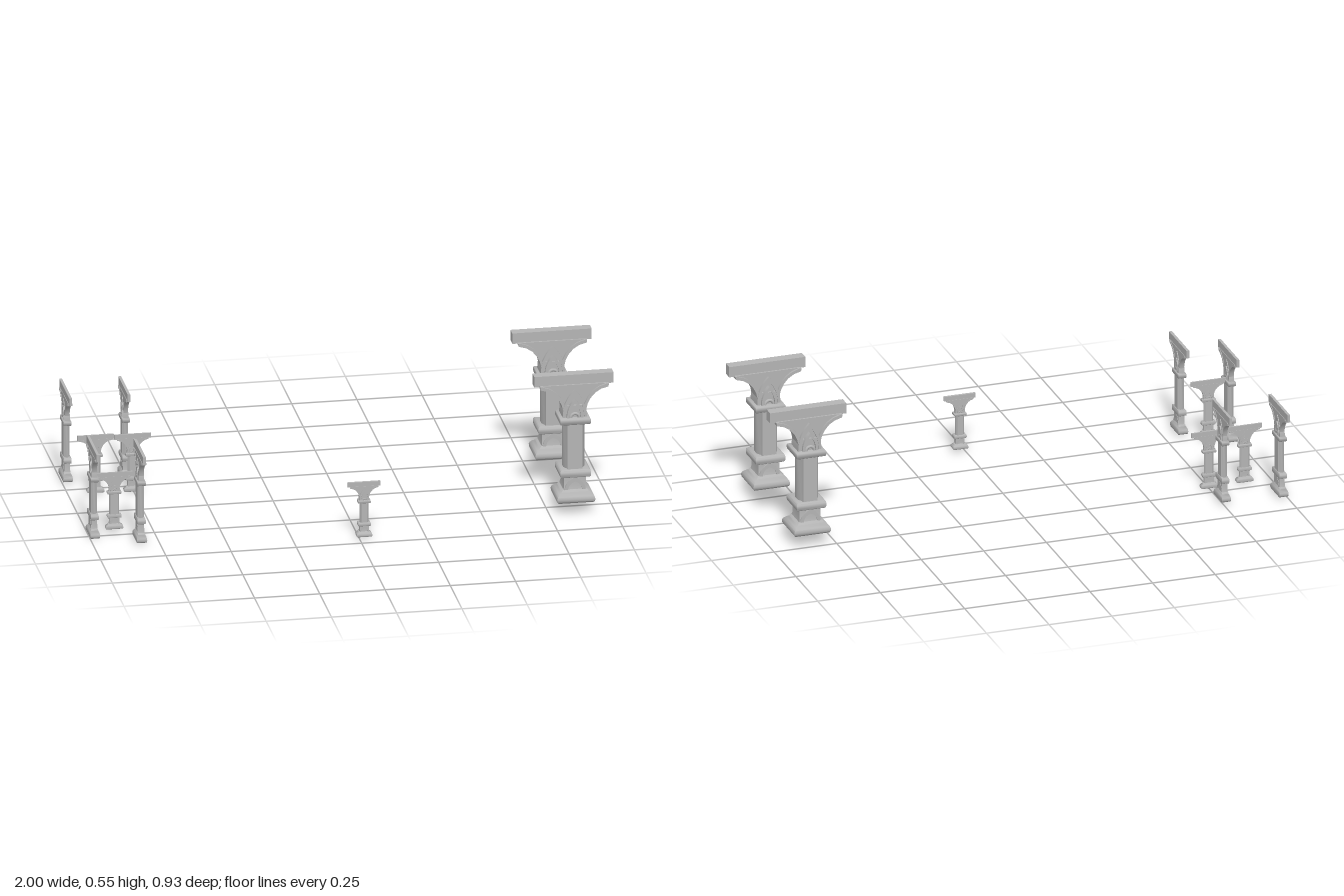
import * as THREE from 'three';
import { toCreasedNormals } from 'three/addons/utils/BufferGeometryUtils.js';

// Square moulding swept from a [half width, height] profile
function squareLathe(profile) {
  const g = new THREE.LatheGeometry(
    profile.map(([r, y]) => new THREE.Vector2(r * Math.SQRT2, y)), 4);
  return toCreasedNormals(g.rotateY(Math.PI / 4), 1.2);
}

// Outline extruded evenly to both sides of z = 0
function slab(shape, depth) {
  const g = new THREE.ExtrudeGeometry(shape, { depth, bevelEnabled: false, curveSegments: 8 });
  return toCreasedNormals(g.translate(0, 0, -depth / 2), 0.6);
}

// Open pointed arch band
function pointedArch(w, y, h, t) {
  const s = new THREE.Shape();
  s.moveTo(-w, y);
  s.quadraticCurveTo(-w, y + h * 0.6, 0, y + h);
  s.quadraticCurveTo(w, y + h * 0.6, w, y);
  s.lineTo(w - t, y);
  s.quadraticCurveTo(w - t, y + h * 0.5, 0, y + h - t * 1.5);
  s.quadraticCurveTo(t - w, y + h * 0.5, t - w, y);
  s.closePath();
  return s;
}

const polygon = (pts) => new THREE.Shape(pts.map(([x, y]) => new THREE.Vector2(x, y)));
const mirrorX = (pts) => pts.map(([x, y]) => [-x, y]).reverse();

// All parts of one pillar: 0.30 wide, 0.50 tall, 0.145 deep
function pillarParts() {
  const parts = [];
  const add = (name, geometry) => parts.push({ name, geometry });

  // Cushion foot and plinth
  add('foot', squareLathe([[0, 0], [0.066, 0], [0.071, 0.006], [0.072, 0.016], [0.069, 0.025],
    [0.061, 0.033], [0.052, 0.039], [0.046, 0.048], [0, 0.048]]));
  add('plinth', squareLathe([[0.046, 0.04], [0.041, 0.06], [0.041, 0.105]]));
  add('plinthArch', slab(pointedArch(0.04, 0.042, 0.056, 0.013), 0.094));

  // Panelled shaft between two collars
  const quarter = [[0.04, 0.015], [0.031, 0.032], [0.028, 0.045]];
  const half = [...quarter, ...mirrorX(quarter)];
  const section = [...half, ...half.map(([x, y]) => [-x, -y])];
  const shaft = new THREE.ExtrudeGeometry(polygon(section), { depth: 0.19, bevelEnabled: false });
  add('shaft', toCreasedNormals(shaft.rotateX(-Math.PI / 2).translate(0, 0.125, 0), 0.6));
  for (const [name, y, h] of [['lowerCollar', 0.098, 0.031], ['upperCollar', 0.31, 0.025]]) {
    add(name, squareLathe([[0, y], [0.053, y], [0.057, y + h * 0.12], [0.058, y + h * 0.3],
      [0.058, y + h * 0.75], [0.056, y + h * 0.93], [0.052, y + h], [0, y + h]]));
  }

  // Flared bracket with raised curved rims
  const curve = [[0.042, 0.333], [0.043, 0.36], [0.049, 0.385], [0.06, 0.407],
    [0.078, 0.428], [0.1, 0.442], [0.128, 0.45], [0.13, 0.462]];
  add('bracket', slab(polygon([...curve, ...mirrorX(curve)]), 0.054));
  const outer = curve.slice(0, 7);
  const inner = outer.map(([x, y], i) => [x - 0.012 + i * 0.001, Math.min(y + i * 0.002, 0.462)]);
  const rim = [...outer, [0.13, 0.462], ...inner.reverse()];
  add('leftRim', slab(polygon(rim), 0.07));
  add('rightRim', slab(polygon(mirrorX(rim)), 0.07));

  // Pointed ornament with a small round arch inside
  add('outerOrnament', slab(pointedArch(0.046, 0.333, 0.112, 0.01), 0.076));
  add('innerOrnament', slab(pointedArch(0.031, 0.333, 0.075, 0.009), 0.092));
  for (const side of [1, -1]) {
    add('roundArch', new THREE.TorusGeometry(0.016, 0.006, 8, 12, Math.PI)
      .translate(0, 0.336, side * 0.042));
  }
  add('crownCore', new THREE.BoxGeometry(0.07, 0.06, 0.07).translate(0, 0.352, 0));

  // Top beam
  add('beam', new THREE.BoxGeometry(0.3, 0.042, 0.04).translate(0, 0.479, 0));
  return parts;
}

export function createModel() {
  const model = new THREE.Group();
  model.name = 'pillars';
  const stone = new THREE.MeshStandardMaterial({ color: 0xb4b4b4 });
  stone.name = 'light grey stone';
  const parts = pillarParts();

  // name, x, bottom, z, width, height, depth, quarter turn
  const layout = [
    ['largePillar', 0.848, 0.05, 0.285, 0.304, 0.5, 0.145, 0],
    ['largePillar', 0.848, 0.05, -0.185, 0.304, 0.5, 0.145, 0],
    ['mediumPillar', -0.981, 0, 0.228, 0.215, 0.36, 0.038, 1],
    ['mediumPillar', -0.981, 0.01, -0.355, 0.218, 0.359, 0.038, 1],
    ['mediumPillar', -0.82, 0.01, 0.333, 0.2, 0.365, 0.04, 1],
    ['mediumPillar', -0.76, 0.01, -0.335, 0.197, 0.365, 0.037, 1],
    ['smallPillar', 0.018, 0.01, 0.446, 0.125, 0.217, 0.037, 0],
    ['smallPillar', -0.9, 0.02, 0.23, 0.14, 0.226, 0.023, 0],
    ['smallPillar', -0.895, 0.005, -0.2, 0.14, 0.23, 0.023, 0],
    ['smallPillar', -0.753, 0, -0.2, 0.14, 0.23, 0.023, 0],
  ];
  for (const [name, x, y, z, w, h, d, turn] of layout) {
    const pillar = new THREE.Group();
    pillar.name = name;
    for (const part of parts) {
      const mesh = new THREE.Mesh(part.geometry, stone);
      mesh.name = part.name;
      pillar.add(mesh);
    }
    pillar.position.set(x, y, z);
    pillar.rotation.y = turn * Math.PI / 2;
    pillar.scale.set(w / 0.3, h / 0.5, d / 0.145);
    model.add(pillar);
  }
  return model;
}
